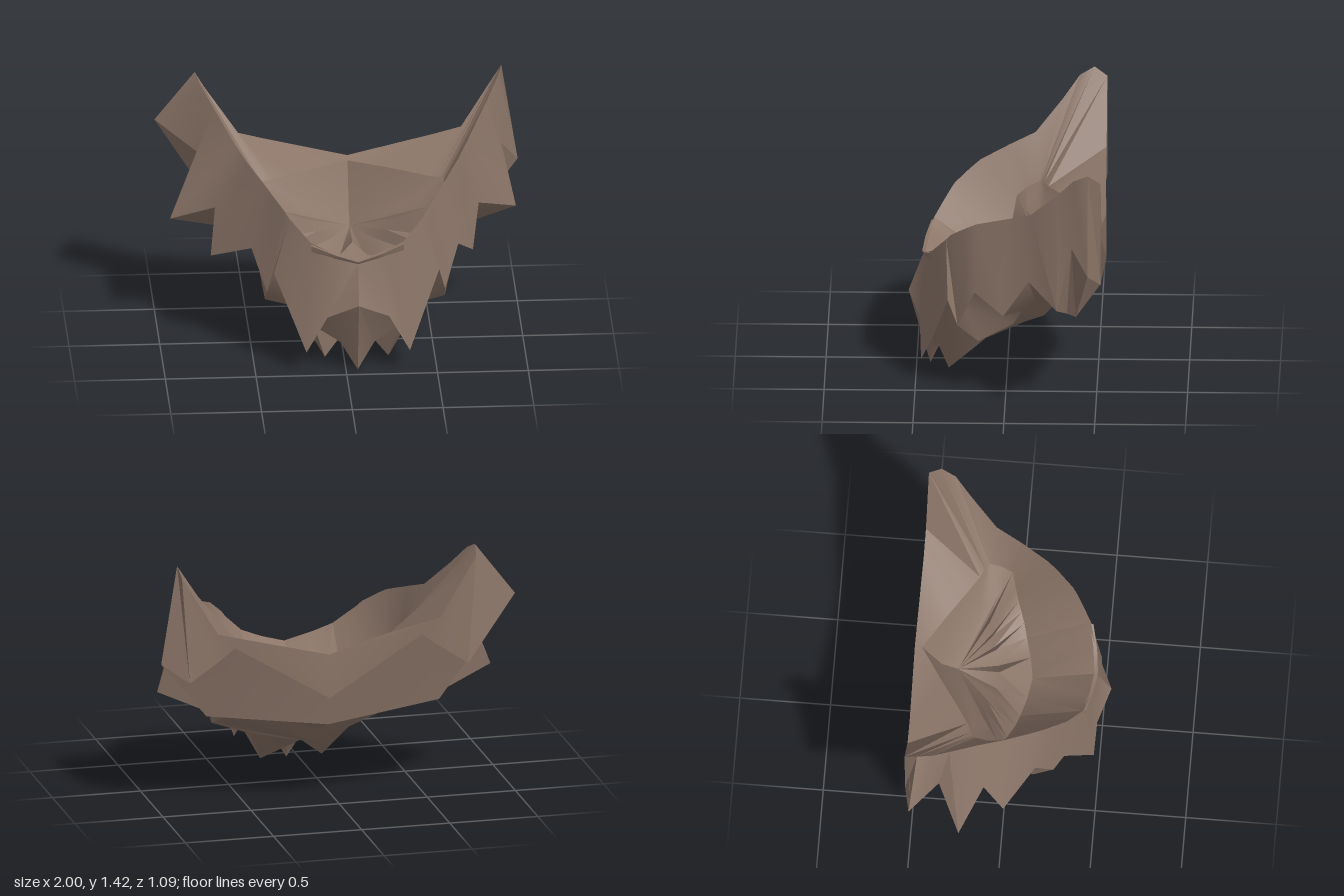
import * as THREE from 'three';
import { toCreasedNormals } from 'three/addons/utils/BufferGeometryUtils.js';

const CENTRE = 0.065; // the mirror plane sits slightly off centre

// Cross-section lines for one half, from the chin round to the back: [out, y, z]
const rim = [
  [0, 0.655, 0.46], [0.15, 0.71, 0.44], [0.26, 0.76, 0.41], [0.33, 0.83, 0.36],
  [0.37, 0.87, 0.33], [0.4, 0.91, 0.3], [0.46, 0.97, 0.22], [0.5, 1.01, 0.16],
  [0.58, 1.07, 0], [0.64, 1.12, -0.14], [0.75, 1.28, -0.29], [0.82, 1.39, -0.38],
  [0.845, 1.43, -0.46], [0.835, 1.38, -0.53],
];
const notch = [0.455, 0.545, 0.32]; // repeated so two tufts can share it
const jaggedLeft = [
  [0, 0.43, 0.545], [0.17, 0.34, 0.48], [0.285, 0.13, 0.47], notch, notch,
  [0.49, 0.41, 0.265], [0.53, 0.52, 0.22], [0.57, 0.635, 0.17], [0.66, 0.53, 0.01],
  [0.7, 0.75, -0.13], [0.915, 0.66, -0.29], [0.84, 1.0, -0.37], [0.935, 0.87, -0.46],
  [0.79, 0.77, -0.53],
];
// The other side has longer side tufts
const jaggedRight = [
  ...jaggedLeft.slice(0, 8),
  [0.785, 0.53, 0.01], [0.755, 0.77, -0.1], [0.995, 0.66, -0.22],
  [0.835, 1.0, -0.34], [1.065, 1.14, -0.49], jaggedLeft[13],
];
const behindTuft = [0.24, 0.26, 0.4];
const under = [
  [0, 0.005, 0.425], [0.095, 0.16, 0.4], behindTuft, behindTuft, [0.175, 0.04, 0.32],
  [0.28, 0.25, 0.12], [0.495, 0.32, 0.15], [0.46, 0.41, -0.04], [0.55, 0.53, -0.1],
  [0.6, 0.6, -0.17], [0.65, 0.58, -0.28], [0.66, 0.55, -0.34], [0.66, 0.53, -0.39],
  [0.53, 0.95, -0.52],
];
const spine = [
  [0.425, 0.005], [0.36, 0.14], [0.32, 0.16], [0.28, 0.17], [0.15, 0.2], [0.1, 0.2],
  [0.05, 0.21], [-0.1, 0.25], [-0.2, 0.285], [-0.25, 0.34], [-0.3, 0.39],
  [-0.4, 0.43], [-0.51, 0.47], [-0.545, 0.63],
].map(([z, y]) => [0, y, z]);

// Back panel, from the side to the middle
const backTop = [rim[13], [0.63, 1.04, -0.53], [0.48, 1.0, -0.53], [0, 0.88, -0.54]];
const backBottom = [jaggedLeft[13], [0.64, 0.87, -0.525], under[13], spine[13]];

// Hollow: inner line below the whole rim, then the ridged floor
const outerLoop = [...rim, ...backTop.slice(1)];
const innerLoop = [
  [0, 0.5, 0.11], [0.12, 0.5, 0.09], [0.23, 0.51, 0.06], [0.3, 0.55, 0.04],
  [0.35, 0.585, 0.02], [0.4, 0.62, 0], [0.45, 0.7, -0.02], [0.5, 0.8, -0.04],
  [0.51, 0.85, -0.1], [0.51, 0.88, -0.16], [0.51, 0.885, -0.17], [0.5, 0.885, -0.18],
  [0.48, 0.885, -0.19], [0.43, 0.88, -0.215], [0.33, 0.88, -0.28], [0.2, 0.875, -0.37],
  [0, 0.865, -0.5],
];
const deepest = [0, 0.56, -0.3];
const mix = (a, b, t) => a.map((v, i) => v + (b[i] - v) * t);
const floorLoop = innerLoop.map((p, i) => {
  if (i > 7) return mix([0.46, 0.76, -0.06], [0, 0.62, -0.39], (i - 7) / 9);
  const q = mix(p, deepest, 0.45);
  q[1] += i % 2 ? -0.05 : 0.03; // alternating ridges
  return q;
});

// Small overhanging ledge along the mouth edge
const ledgeTop = [[0, 0.66, 0.47], [0.13, 0.7, 0.455], [0.255, 0.745, 0.425]];
const ledgeBottom = [[0, 0.645, 0.46], [0.13, 0.675, 0.445], [0.255, 0.7, 0.415]];
const ledgeBack = [[0, 0.66, 0.45], [0.13, 0.705, 0.435], [0.255, 0.75, 0.405]];

// Skin neighbouring lines of one half; side is +1 or -1
function skin(positions, lines, side) {
  const same = (p, q) => p.every((v, i) => Math.abs(v - q[i]) < 1e-5);
  const tri = (p, q, r) => {
    if (same(p, q) || same(q, r) || same(r, p)) return;
    for (const [x, y, z] of side > 0 ? [p, q, r] : [r, q, p]) {
      positions.push(CENTRE + side * x, y, z);
    }
  };
  for (let k = 0; k < lines.length - 1; k++) {
    const a = lines[k], b = lines[k + 1];
    for (let i = 0; i < a.length - 1; i++) {
      tri(a[i], b[i], b[i + 1]);
      tri(a[i], b[i + 1], a[i + 1]);
    }
  }
}

export function createModel() {
  const group = new THREE.Group();
  group.name = 'beard';
  const material = new THREE.MeshStandardMaterial({ color: 0x8b7568, side: THREE.DoubleSide });

  function addPart(name, leftLines, rightLines = leftLines) {
    const positions = [];
    skin(positions, leftLines, 1);
    skin(positions, rightLines, -1);
    const geometry = new THREE.BufferGeometry();
    geometry.setAttribute('position', new THREE.Float32BufferAttribute(positions, 3));
    const mesh = new THREE.Mesh(toCreasedNormals(geometry, 0.65), material);
    mesh.name = name;
    group.add(mesh);
  }

  addPart('outerBeard', [rim, jaggedLeft], [rim, jaggedRight]);
  addPart('underside', [jaggedLeft, under, spine], [jaggedRight, under, spine]);
  addPart('backPanel', [backTop, backBottom]);
  addPart('collar', [innerLoop, outerLoop]);
  addPart('mouthHollow', [innerLoop.map(() => deepest), floorLoop, innerLoop]);
  addPart('mouthLedge', [ledgeBack, ledgeTop, ledgeBottom]);
  return group;
}
